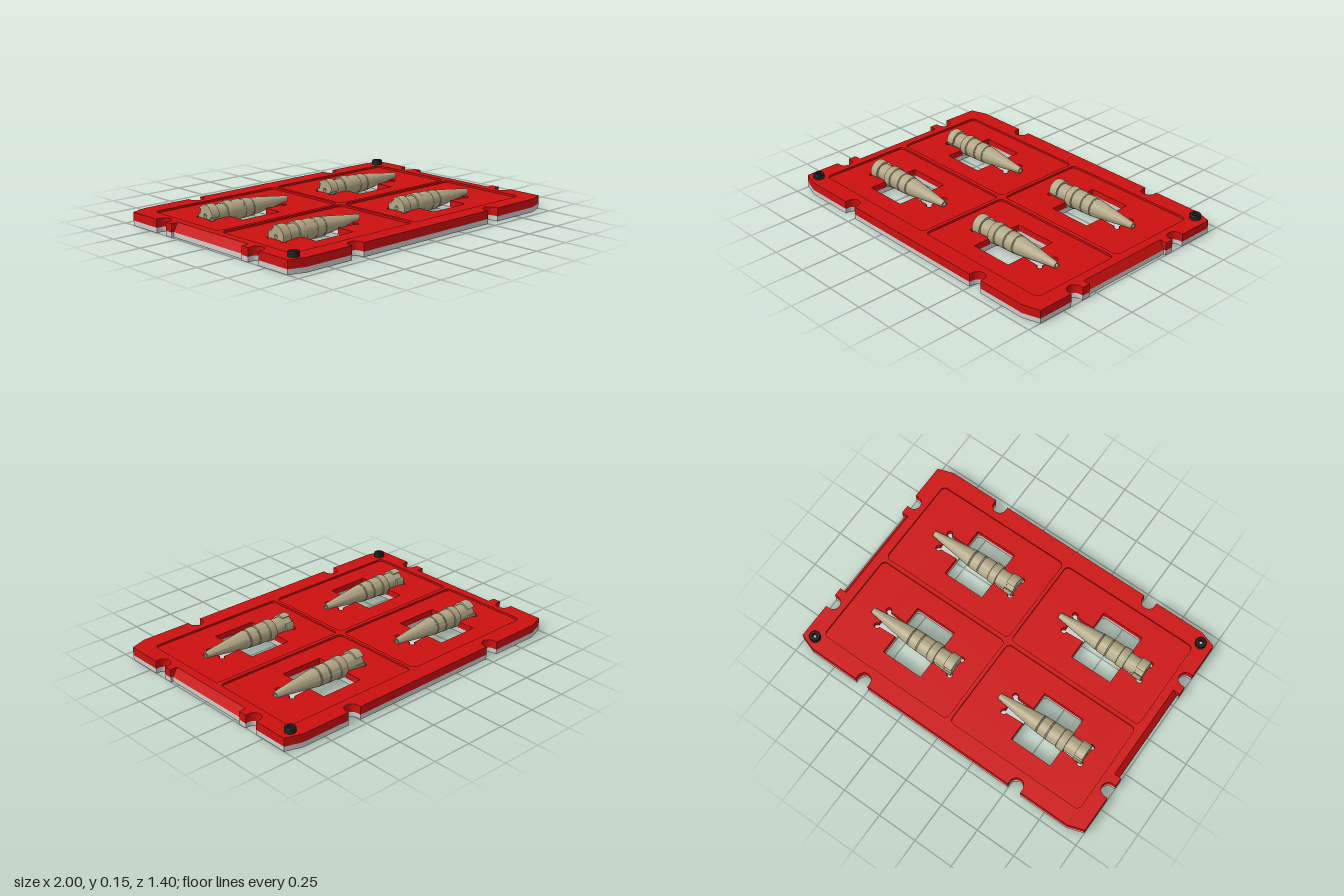
import * as THREE from 'three';
import { toCreasedNormals } from 'three/addons/utils/BufferGeometryUtils.js';

const material = (color) => new THREE.MeshStandardMaterial({ color });
const grey = material(0xcccccc);
const red = material(0xcc1010);
const khaki = material(0xb0a585);
const black = material(0x222222);

const BAY_X = [-0.495, 0.42];
const BAY_Z = [-0.305, 0.305];
const eachBay = (fn) => BAY_X.forEach((x) => BAY_Z.forEach((z) => fn(x, z)));

function add(parent, name, geometry, mat, x = 0, y = 0, z = 0) {
  const mesh = new THREE.Mesh(geometry, mat);
  mesh.name = name;
  mesh.position.set(x, y, z);
  parent.add(mesh);
  return mesh;
}

// Rounded notch cut into an edge; inward is the direction of the cut
function notch(x, y, inward) {
  const r = 0.043, straight = 0.021, points = [];
  const dx = Math.cos(inward), dy = Math.sin(inward);
  const at = (a, d) => new THREE.Vector2(x + dx * d + r * Math.cos(a), y + dy * d + r * Math.sin(a));
  points.push(at(inward + Math.PI / 2, 0));
  for (let i = 0; i <= 12; i++) points.push(at(inward + Math.PI / 2 - (Math.PI * i) / 12, straight));
  points.push(at(inward - Math.PI / 2, 0));
  return points;
}

// Plate outline: one half, repeated with a half turn
function outline(inset) {
  const v = (x, y) => new THREE.Vector2(x, y);
  const half = [
    v(-0.9, -0.7), ...notch(-0.54, -0.7, Math.PI / 2), ...notch(0.54, -0.7, Math.PI / 2),
    v(0.9, -0.7), v(1, -0.667), ...notch(1, -0.4, Math.PI),
    v(1, -0.305), v(1 - inset, -0.305), v(1 - inset, 0.305), v(1, 0.305),
    ...notch(1, 0.4, Math.PI), v(1, 0.667),
  ];
  return new THREE.Shape([...half, ...half.map((p) => v(-p.x, -p.y))]);
}

function roundedRect(x0, y0, x1, y1, r) {
  const path = new THREE.Path();
  path.absarc(x1 - r, y1 - r, r, 0, Math.PI / 2);
  path.absarc(x0 + r, y1 - r, r, Math.PI / 2, Math.PI);
  path.absarc(x0 + r, y0 + r, r, Math.PI, Math.PI * 1.5);
  path.absarc(x1 - r, y0 + r, r, Math.PI * 1.5, Math.PI * 2);
  path.closePath();
  return path;
}

const circle = (x, y, r) => new THREE.Path().absarc(x, y, r, 0, Math.PI * 2);
const windowHole = (x, y) => roundedRect(x - 0.135, y - 0.168, x + 0.135, y + 0.168, 0.022);

// Window crossed by a lengthwise slot with rounded corner reliefs
function cradleHole(x, y) {
  const path = new THREE.Path();
  const r = 0.017, w = 0.135, h = 0.168, s = 0.052, left = -0.265, right = 0.265;
  const P = Math.PI;
  path.moveTo(x + w, y + s);
  path.lineTo(x + w, y + h);
  path.lineTo(x - w, y + h);
  path.lineTo(x - w, y + s);
  path.absarc(x + left, y + s + 0.006, r, 0, P * 1.5);
  path.absarc(x + left, y - s - 0.006, r, P / 2, P * 2);
  path.lineTo(x - w, y - s);
  path.lineTo(x - w, y - h);
  path.lineTo(x + w, y - h);
  path.lineTo(x + w, y - s);
  path.absarc(x + right, y - s - 0.006, r, P, P * 2.5);
  path.absarc(x + right, y + s + 0.006, r, -P / 2, P);
  path.closePath();
  return path;
}

// Horizontal slab from a shape, between two heights
function slab(shape, y0, y1) {
  const g = new THREE.ExtrudeGeometry(shape, { depth: y1 - y0, bevelEnabled: false, curveSegments: 8 });
  g.rotateX(-Math.PI / 2);
  g.translate(0, y0, 0);
  return toCreasedNormals(g, 0.6);
}

// Stepped, tapering nose part lying along x, with a hollow tip
function noseGeometry() {
  const profile = [
    [0, 0.05], [0.052, 0.05], [0.052, 0.125], [0.062, 0.125], [0.064, 0.13], [0.064, 0.172],
    [0.059, 0.176], [0.059, 0.245], [0.056, 0.248], [0.056, 0.252], [0.058, 0.255],
    [0.056, 0.31], [0.053, 0.313], [0.053, 0.317], [0.055, 0.32],
    [0.018, 0.605], [0.011, 0.605], [0.011, 0.55], [0, 0.55],
  ].map(([r, l]) => new THREE.Vector2(r, l));
  const g = new THREE.LatheGeometry(profile, 40);
  g.rotateZ(-Math.PI / 2);
  return toCreasedNormals(g, 0.5);
}

// End collar with a slot on each side
function collarGeometry() {
  const R = 0.064, a = 0.3, inner = 0.048;
  const shape = new THREE.Shape();
  shape.absarc(0, 0, R, a, Math.PI - a);
  shape.lineTo(-inner, R * Math.sin(a));
  shape.lineTo(-inner, -R * Math.sin(a));
  shape.absarc(0, 0, R, Math.PI + a, Math.PI * 2 - a);
  shape.lineTo(inner, -R * Math.sin(a));
  shape.lineTo(inner, R * Math.sin(a));
  shape.holes.push(circle(0, 0, 0.012));
  const g = new THREE.ExtrudeGeometry(shape, { depth: 0.055, bevelEnabled: false, curveSegments: 20 });
  g.rotateY(Math.PI / 2);
  return toCreasedNormals(g, 0.5);
}

export function createModel() {
  const group = new THREE.Group();

  // Base plate with windows and blind fixing holes on its underside
  const base = outline(0.015);
  const holes = [[0, 0, 0.02]];
  for (const sx of [-1, 1]) for (const sz of [-1, 1]) {
    holes.push([0.92 * sx, 0.62 * sz, 0.027], [0.92 * sx, 0.51 * sz, 0.022], [0.815 * sx, 0.62 * sz, 0.022]);
  }
  eachBay((x, z) => {
    base.holes.push(windowHole(x, -z));
    holes.push([x - 0.19, z - 0.05, 0.014], [x - 0.19, z + 0.055, 0.014], [x - 0.19, z + 0.175, 0.014]);
  });
  holes.forEach(([x, z, r]) => base.holes.push(circle(x, -z, r)));
  add(group, 'basePlate', slab(base, 0, 0.03), grey);
  holes.forEach(([x, z, r]) =>
    add(group, 'holePlug', new THREE.CylinderGeometry(r, r, 0.02, 20), grey, x, 0.019, z));

  // Red tray floor with cradles
  const floor = outline(0.045);
  eachBay((x, z) => floor.holes.push(cradleHole(x, -z)));
  add(group, 'trayFloor', slab(floor, 0.03, 0.068), red);

  // Raised rim around the four pockets
  const rim = outline(0.045);
  for (const [x0, x1] of [[-0.905, -0.013], [0.01, 0.9]]) {
    rim.holes.push(roundedRect(x0, 0.013, x1, 0.593, 0.03), roundedRect(x0, -0.593, x1, -0.013, 0.03));
  }
  add(group, 'trayRim', slab(rim, 0.068, 0.08), red);

  // Sloped finger edges on both ends
  const wedge = new THREE.Shape([[0.955, 0.03], [0.985, 0.03], [0.955, 0.08]].map((p) => new THREE.Vector2(...p)));
  for (const turn of [0, Math.PI]) {
    const g = new THREE.ExtrudeGeometry(wedge, { depth: 0.61, bevelEnabled: false });
    g.translate(0, 0, -0.305);
    g.rotateY(turn);
    add(group, 'slopedEdge', g, red);
  }

  // Four nose parts resting in the cradles
  const nose = noseGeometry(), collar = collarGeometry();
  eachBay((x, z) => {
    const part = new THREE.Group();
    part.name = 'nosePart';
    part.position.set(x - 0.27, 0.083, z);
    part.rotation.x = z < 0 ? 0.35 : 0.8;
    add(part, 'noseBody', nose, khaki);
    add(part, 'slottedCollar', collar, khaki);
    group.add(part);
  });

  // Corner screws with a socket
  const screw = toCreasedNormals(new THREE.LatheGeometry([
    [0.009, 0.004], [0.033, 0], [0.033, 0.023], [0.029, 0.028], [0.016, 0.028], [0.016, 0.01], [0, 0.01],
  ].map((p) => new THREE.Vector2(...p)), 24), 0.5);
  for (const s of [1, -1]) {
    add(group, 'cornerScrew', screw, black, 0.93 * s, 0.08, -0.635 * s);
    add(group, 'screwSocketCentre', new THREE.CylinderGeometry(0.007, 0.007, 0.004, 12), grey, 0.93 * s, 0.091, -0.635 * s);
  }
  return group;
}
